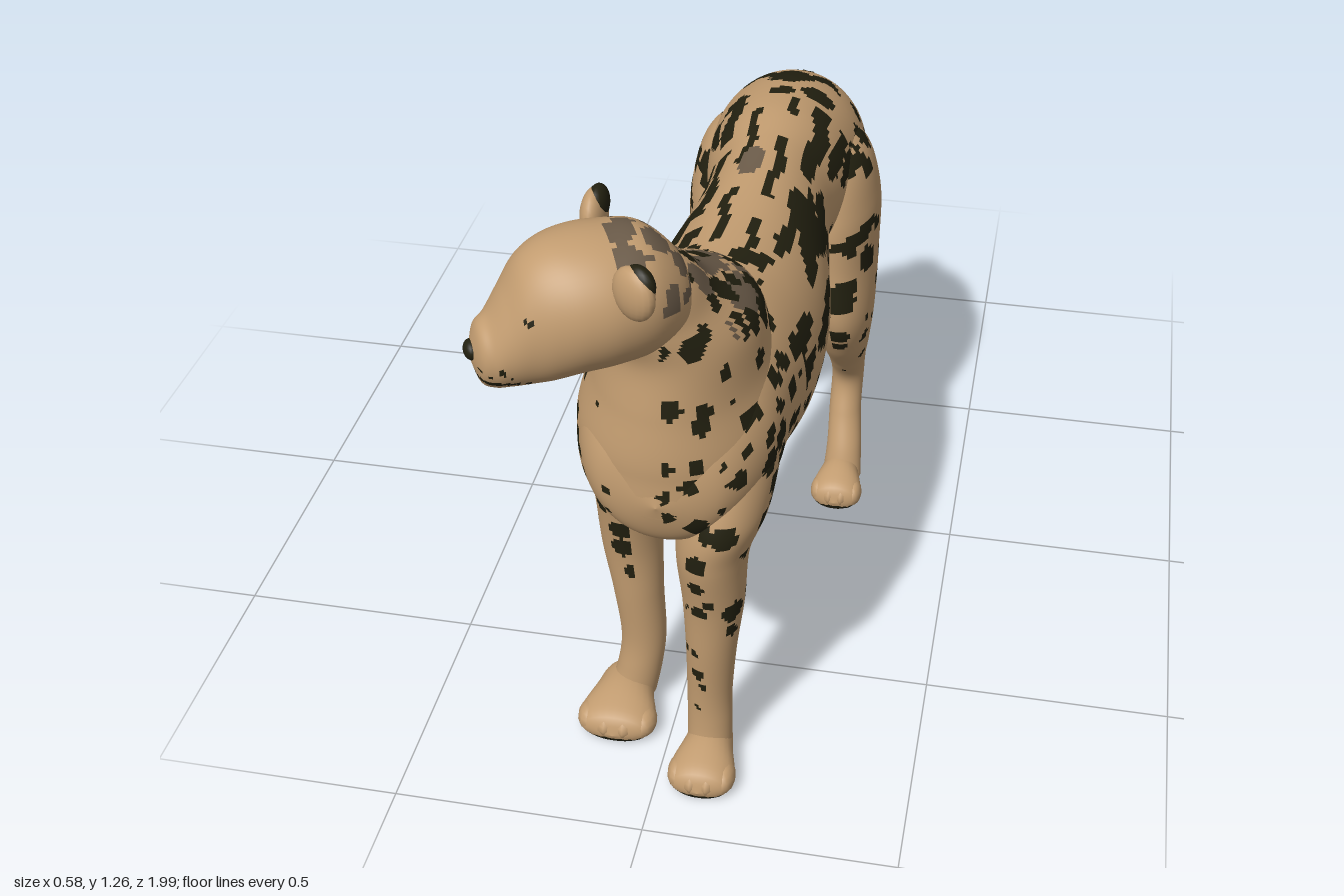
import * as THREE from 'three';

const mat = (name, color) => Object.assign(new THREE.MeshStandardMaterial({ color }), { name });
const fur = mat('tan fur', 0xc29c70);
const dark = mat('dark markings', 0x222010);
const taupe = mat('taupe markings', 0x6c5c4a);
const coatMats = [fur, dark, taupe];

// Catmull-Rom blend of rows of numbers
function sample(rows, t) {
  const n = rows.length, f = t * (n - 1), i = Math.min(Math.floor(f), n - 2), u = f - i;
  const a = rows[Math.max(i - 1, 0)], b = rows[i], c = rows[i + 1], d = rows[Math.min(i + 2, n - 1)];
  return b.map((q, k) => q + 0.5 * u * (c[k] - a[k] + u * (2 * a[k] - 5 * q + 4 * c[k] - d[k]
    + u * (3 * (q - c[k]) + d[k] - a[k]))));
}

// Loft of elliptical rings [x, y, z, rx, rv, tilt]; each patch is coloured by paint(x, y, z, t)
function loft(name, rows, tilt, nt, nr, paint = () => 0, shag = () => 1) {
  const pos = [], faces = [[], [], []];
  for (let i = 0; i <= nt; i++) {
    const [x, y, z, ru, rv, a = tilt] = sample(rows, i / nt);
    for (let j = 0; j < nr; j++) {
      const th = j / nr * Math.PI * 2, s = shag(i, j);
      const u = Math.max(ru, 0) * s * Math.cos(th), v = Math.max(rv, 0) * s * Math.sin(th);
      pos.push(x + u, Math.max(y + v * Math.cos(a), 0), z + v * Math.sin(a));
    }
  }
  for (let i = 0; i < nt; i++) for (let j = 0; j < nr; j++) {
    const k = (j + 1) % nr, a = i * nr + j, b = i * nr + k, c = a + nr, d = b + nr;
    const mid = [0, 1, 2].map(q => (pos[a * 3 + q] + pos[d * 3 + q]) / 2);
    faces[paint(...mid, i / nt)].push(a, b, d, a, d, c);
  }
  const g = new THREE.BufferGeometry();
  g.setAttribute('position', new THREE.Float32BufferAttribute(pos, 3));
  g.setIndex(faces.flat());
  let start = 0;
  faces.forEach((f, k) => { if (f.length) g.addGroup(start, f.length, k); start += f.length; });
  g.computeVertexNormals();
  const mesh = new THREE.Mesh(g, coatMats);
  mesh.name = name;
  return mesh;
}

// Seeded spots scattered through space
function hash(i, j, k, s) {
  const v = Math.sin(i * 127.1 + j * 311.7 + k * 74.7 + s * 53.3) * 43758.5453;
  return v - Math.floor(v);
}
function spot(x, y, z, cell, r) {
  const ci = Math.floor(x / cell), cj = Math.floor(y / cell), ck = Math.floor(z / cell);
  for (let i = ci - 1; i <= ci + 1; i++) for (let j = cj - 1; j <= cj + 1; j++) for (let k = ck - 1; k <= ck + 1; k++) {
    const q = s => 0.2 + 0.6 * hash(i, j, k, s);
    const d = Math.hypot(x - (i + q(1)) * cell, y - (j + q(2)) * cell, z - (k + q(3)) * cell);
    if (d < r * (0.7 + 0.5 * hash(i, j, k, 4))) return true;
  }
  return false;
}

// Coat: spine lines and long streaks over the back, mottled nape, spots elsewhere, plain belly and throat
function coat(x, y, z) {
  if (y < 0.66 && z > -0.02 && z < 0.6) return 0;
  if (y < 0.72 && Math.abs(x - 0.06) < 0.06 && z < 0.7) return 0;
  if (y > 0.8 && z > 0.78 && x < 0.03 && x > -0.1) return 0;
  const wy = y + 0.01 * Math.sin(31 * z + 9 * x), wz = z + 0.008 * Math.sin(37 * y + 11 * x);
  if (y > 0.97 && z > 0.42 && z < 0.76) {
    if (spot(x, wy, wz, 0.06, 0.028)) return 1;
    return y > 1 && spot(x + 0.4, wy, wz, 0.07, 0.038) ? 2 : 0;
  }
  if (y > 0.955 && z > -0.14 && z < 0.42) {
    if (Math.hypot(x - 0.05, (z - 0.12) * 0.5) < 0.026) return 2;
    const off = Math.abs(x - 0.068) + 0.006 * Math.sin(40 * z), gap = Math.sin(21 * z + 2 * Math.sign(x - 0.068));
    return (Math.abs(off - 0.036) < 0.01 && gap < 0.6) || (Math.abs(off - 0.096) < 0.017 && gap > -0.85) ? 1 : 0;
  }
  if (y > 0.97 && z < -0.22 && Math.abs(z + 0.28 - 0.03 * Math.cos(40 * (x - 0.07))) < 0.026) return 1;
  if (y > 0.72 && z > -0.14 && z < 0.54) return spot(x * 0.45, wy + 0.12 * z, wz * 0.28, 0.064, 0.029) ? 1 : 0;
  if (z < 0.54) return spot(x * 0.7, wy, wz, 0.068, 0.028 * THREE.MathUtils.clamp((y - 0.2) / 0.35, 0, 1)) ? 1 : 0;
  const front = z > 0.8 && y > 0.55 && x < 0.03;
  return spot(x, wy, wz, 0.06, (front ? 0.014 : 0.024) * THREE.MathUtils.clamp((y - 0.02) / 0.4, 0, 1)) ? 1 : 0;
}

function paw(name, x, z0, z1, w) {
  const g = new THREE.Group(), L = z1 - z0;
  g.name = name;
  g.add(loft(name + 'Pad', [[x, 0.04, z0, 0, 0], [x, 0.035, z0 + L * 0.1, w * 0.55, 0.04],
    [x, 0.036, z0 + L * 0.4, w * 0.75, 0.047], [x, 0.032, z0 + L * 0.7, w * 0.95, 0.041],
    [x, 0.026, z0 + L * 0.92, w * 0.8, 0.03], [x, 0.022, z1, 0, 0]], 0, 24, 28, (a, y) => y < 0.012 ? 1 : 0));
  for (let i = 0; i < 4; i++) {
    const s = (i - 1.5) / 1.5;
    const toe = new THREE.Mesh(new THREE.SphereGeometry(1, 12, 8), fur);
    toe.name = 'toe';
    toe.scale.set(w * 0.3, 0.028, L * 0.2);
    toe.position.set(x + s * w * 0.7, 0.029, z1 - L * (0.19 + 0.07 * s * s));
    g.add(toe);
  }
  return g;
}

export function createModel() {
  const model = new THREE.Group();
  model.name = 'spottedCat';
  const down = Math.PI / 2;

  // Trunk, rump to chest
  const trunk = [[0.07, 0.84, -0.44, 0, 0], [0.07, 0.83, -0.42, 0.09, 0.1], [0.07, 0.82, -0.36, 0.15, 0.16],
    [0.07, 0.83, -0.25, 0.17, 0.185], [0.07, 0.85, -0.1, 0.155, 0.18], [0.07, 0.84, 0.03, 0.135, 0.18],
    [0.07, 0.8, 0.15, 0.15, 0.21], [0.065, 0.764, 0.3, 0.18, 0.236], [0.055, 0.758, 0.45, 0.19, 0.239],
    [0.035, 0.773, 0.6, 0.192, 0.227], [0.025, 0.76, 0.75, 0.182, 0.2], [0.02, 0.74, 0.86, 0.12, 0.12],
    [0.02, 0.72, 0.9, 0, 0]];
  model.add(loft('trunk', trunk, 0, 180, 114, coat));

  // Shaggy belly fringe
  const tuft = new THREE.ConeGeometry(0.014, 0.05, 5).rotateX(Math.PI * 0.88);
  const fringe = new THREE.Group();
  fringe.name = 'bellyFringe';
  for (let i = 0; i < 54; i++) {
    const [x, y, z, rx, ry] = sample(trunk, 0.46 + 0.29 * i / 54);
    const th = -Math.PI / 2 + (hash(i, 2, 3, 1) - 0.5) * 1.5;
    const m = new THREE.Mesh(tuft, fur);
    m.name = 'tuft';
    m.position.set(x + rx * Math.cos(th), y + ry * Math.sin(th) + 0.008, z);
    fringe.add(m);
  }
  model.add(fringe);

  // Neck and shoulders, from skull down into the chest
  model.add(loft('neck', [[-0.06, 1.2, 0.82, 0, 0], [-0.05, 1.14, 0.78, 0.1, 0.12], [-0.01, 1.07, 0.74, 0.11, 0.15],
    [0.02, 1.0, 0.67, 0.14, 0.205], [0.02, 0.9, 0.645, 0.165, 0.24], [0.02, 0.78, 0.65, 0.197, 0.245],
    [0.02, 0.65, 0.67, 0.168, 0.2], [0.02, 0.56, 0.68, 0, 0]], down, 84, 100, coat));

  // Legs: spots kept off the inner side
  const leg = (name, side, rows) => model.add(loft(name, rows, down, 120, 56, (x, y, z, t) =>
    (x - sample(rows, t)[0]) * side < (name === 'frontLeftLeg' ? -0.045 : -0.015) ? 0 : coat(x, y, z)));
  leg('frontLeftLeg', 1, [[0.09, 0.95, 0.6, 0, 0], [0.1, 0.9, 0.62, 0.06, 0.1], [0.12, 0.78, 0.66, 0.09, 0.15],
    [0.12, 0.65, 0.74, 0.085, 0.125], [0.1, 0.55, 0.775, 0.07, 0.09], [0.1, 0.42, 0.775, 0.06, 0.065],
    [0.095, 0.3, 0.775, 0.05, 0.052], [0.09, 0.18, 0.77, 0.045, 0.043], [0.09, 0.1, 0.77, 0.045, 0.042],
    [0.09, 0.03, 0.775, 0.045, 0.045]]);
  leg('frontRightLeg', -1, [[-0.05, 0.95, 0.6, 0, 0], [-0.06, 0.9, 0.6, 0.06, 0.1], [-0.1, 0.78, 0.6, 0.085, 0.15],
    [-0.1, 0.65, 0.63, 0.075, 0.12], [-0.095, 0.55, 0.635, 0.067, 0.085], [-0.093, 0.42, 0.63, 0.061, 0.065],
    [-0.083, 0.3, 0.635, 0.051, 0.052], [-0.075, 0.18, 0.635, 0.046, 0.045], [-0.083, 0.1, 0.64, 0.046, 0.044],
    [-0.1, 0.03, 0.645, 0.05, 0.045]]);
  leg('hindLeftLeg', 1, [[0.13, 0.96, -0.2, 0, 0], [0.15, 0.9, -0.2, 0.09, 0.12], [0.18, 0.78, -0.2, 0.1, 0.17],
    [0.2, 0.65, -0.18, 0.085, 0.155], [0.215, 0.52, -0.145, 0.07, 0.12], [0.22, 0.42, -0.165, 0.055, 0.09],
    [0.22, 0.33, -0.22, 0.042, 0.068], [0.22, 0.26, -0.245, 0.037, 0.05], [0.22, 0.18, -0.215, 0.037, 0.042],
    [0.225, 0.1, -0.175, 0.04, 0.04], [0.225, 0.03, -0.15, 0.045, 0.04]]);
  leg('hindRightLeg', -1, [[0.01, 0.96, -0.2, 0, 0], [-0.01, 0.9, -0.22, 0.09, 0.12], [-0.04, 0.78, -0.22, 0.1, 0.17],
    [-0.06, 0.65, -0.22, 0.085, 0.15], [-0.07, 0.52, -0.24, 0.07, 0.115], [-0.075, 0.42, -0.3, 0.055, 0.085],
    [-0.085, 0.33, -0.365, 0.042, 0.062], [-0.09, 0.26, -0.395, 0.037, 0.045], [-0.095, 0.18, -0.395, 0.037, 0.04],
    [-0.095, 0.1, -0.39, 0.04, 0.04], [-0.095, 0.03, -0.385, 0.045, 0.04]]);
  model.add(paw('frontLeftPaw', 0.09, 0.72, 0.91, 0.068), paw('frontRightPaw', -0.11, 0.6, 0.79, 0.082),
    paw('hindLeftPaw', 0.222, -0.2, -0.035, 0.06), paw('hindRightPaw', -0.095, -0.435, -0.275, 0.064));

  // Ringed, shaggy tail with a dark brush
  model.add(loft('tail', [[0.07, 0.95, -0.38, 0, 0, 2], [0.07, 0.91, -0.41, 0.05, 0.045, 1.95],
    [0.07, 0.75, -0.46, 0.046, 0.04, 1.85], [0.065, 0.6, -0.505, 0.046, 0.04, 1.85],
    [0.06, 0.45, -0.555, 0.046, 0.041, 1.95], [0.045, 0.32, -0.62, 0.046, 0.043, 2.25],
    [0.02, 0.22, -0.72, 0.047, 0.046, 2.55], [0, 0.17, -0.82, 0.052, 0.052, 2.9],
    [-0.02, 0.16, -0.91, 0.058, 0.06, 3.2], [-0.025, 0.17, -0.975, 0.045, 0.045, 3.3],
    [-0.025, 0.17, -1, 0, 0, 3.3]], 0, 160, 28, (x, y, z, t) => {
    if (z < -0.83) return 1;
    const s = Math.sin(t * 100 + 0.7 * Math.sin(x * 90));
    return s > 0 ? 1 : s > -0.45 ? 2 : 0;
  }, (i, j) => 0.93 + 0.2 * ((i % 8) / 8) * (0.4 + 0.6 * hash(j, Math.floor(i / 8), 5, 1))));

  // Head, turned toward the right
  const head = new THREE.Group();
  head.name = 'head';
  head.position.set(-0.07, 0, 0.84);
  head.rotation.y = -1.08;
  head.add(loft('skull', [[0, 1.12, -0.15, 0, 0], [0, 1.12, -0.13, 0.06, 0.07], [0, 1.135, -0.07, 0.112, 0.115],
    [0, 1.136, 0, 0.132, 0.125], [0, 1.133, 0.06, 0.13, 0.128], [0, 1.122, 0.11, 0.115, 0.128],
    [0, 1.106, 0.15, 0.095, 0.117], [0, 1.08, 0.182, 0.078, 0.092], [0, 1.06, 0.208, 0.064, 0.07],
    [0, 1.056, 0.23, 0.047, 0.052], [0, 1.058, 0.245, 0, 0]], 0, 70, 70, (x, y, z) => {
    if (Math.hypot(Math.abs(x) - 0.086, (y - 1.152) * 1.6, z - 0.15) < 0.011) return 1;
    if (z > 0.17 && Math.abs(y - 1.022 + (0.23 - z) * 0.1) < 0.004) return 1;
    if (z > 0.15 && y < 1.06 && spot(x, y, z, 0.024, 0.006)) return 1;
    return z < 0 && y > 1.13 && spot(x, y, z, 0.055, 0.029) ? 2 : 0;
  }));
  const blob = (name, m, p, s, ry = 0) => {
    const b = new THREE.Mesh(new THREE.SphereGeometry(1, 20, 14), m);
    b.name = name;
    b.position.set(...p);
    b.scale.set(...s);
    b.rotation.y = ry;
    head.add(b);
  };
  blob('nose', dark, [0, 1.064, 0.239], [0.022, 0.018, 0.014]);
  for (const s of [-1, 1]) {
    blob('ear', fur, [s * 0.134, 1.21, -0.015], [0.046, 0.05, 0.024], s * 0.5);
    blob('earBack', dark, [s * 0.138, 1.23, -0.024], [0.034, 0.034, 0.02], s * 0.5);
  }
  model.add(head);
  return model;
}
